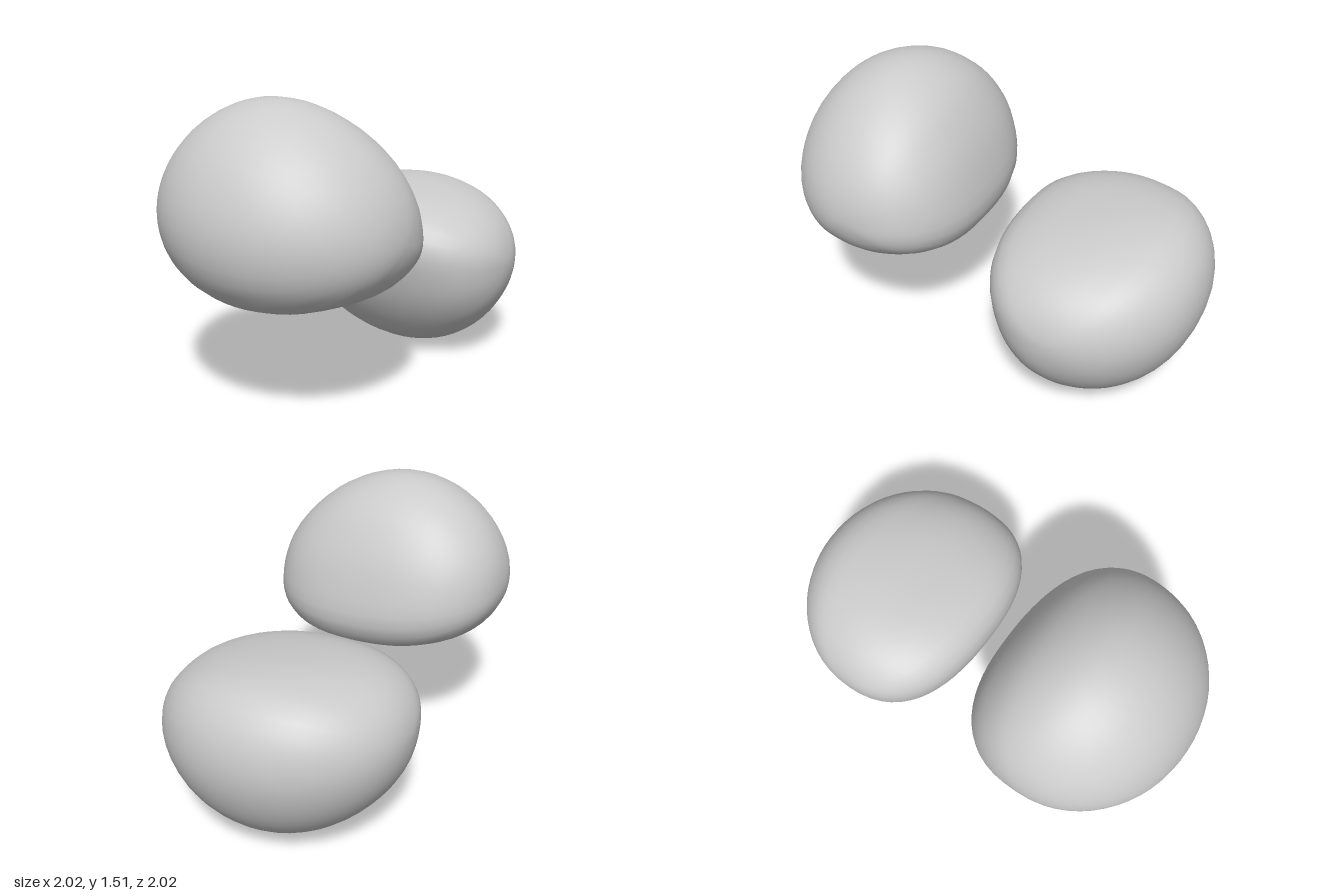
import * as THREE from 'three';
import { mergeVertices } from 'three/addons/utils/BufferGeometryUtils.js';

const MID_Y = 0.757;                      // height of the point both lobes mirror through
const CORE = new THREE.Vector3(-0.55, 0.94, 0); // axis through a lobe's rounded ends
const HALF_LENGTH = 0.65, TILT = -0.07, END_RADIUS = 0.5;

// Teardrop section of the upper lobe, its tip pointing at the lower lobe
const section = new THREE.CatmullRomCurve3([
  [-0.06, 0.81], [-0.09, 1.0], [-0.17, 1.21], [-0.32, 1.41], [-0.56, 1.512],
  [-0.82, 1.45], [-1.03, 1.25], [-1.13, 0.97], [-1.09, 0.74], [-0.96, 0.605],
  [-0.76, 0.57], [-0.5, 0.585], [-0.25, 0.63], [-0.11, 0.7],
].map(([s, y]) => new THREE.Vector3(s, y, 0)), true);

// A sphere whose rings become scaled sections along the diagonal u = (1, 0, 1)
function lobeGeometry() {
  const geo = new THREE.SphereGeometry(1, 48, 32);
  const pos = geo.attributes.position, uv = geo.attributes.uv;
  for (let i = 0; i < pos.count; i++) {
    const c = THREE.MathUtils.clamp(pos.getY(i), -1, 1);
    const d = section.getPointAt(((uv.getX(i) % 1) + 1) % 1).sub(CORE);
    // the tip side is boxier than the rest
    const n = 2 + 0.3 * d.x + d.x * d.x;
    const k = Math.pow(Math.max(0, 1 - Math.pow(Math.abs(c), n)), 1 / n);
    // sections turn rounder towards the ends
    d.lerp(d.clone().setLength(END_RADIUS), 0.6 * c * c).multiplyScalar(k);
    const u = HALF_LENGTH * c;
    const s = CORE.x + d.x;
    const y = CORE.y + d.y + TILT * u;
    pos.setXYZ(i, (s + u) * Math.SQRT1_2, y - MID_Y, (u - s) * Math.SQRT1_2);
  }
  geo.deleteAttribute('uv');
  geo.deleteAttribute('normal');
  const merged = mergeVertices(geo, 1e-4);
  merged.computeVertexNormals();
  return merged;
}

// Mirror through the origin and turn the faces outward again
function invert(source) {
  const geo = source.clone();
  const pos = geo.attributes.position, index = geo.index;
  for (let i = 0; i < pos.count; i++) pos.setXYZ(i, -pos.getX(i), -pos.getY(i), -pos.getZ(i));
  for (let i = 0; i < index.count; i += 3) {
    const b = index.getX(i + 1);
    index.setX(i + 1, index.getX(i + 2));
    index.setX(i + 2, b);
  }
  geo.computeVertexNormals();
  return geo;
}

export function createModel() {
  const group = new THREE.Group();
  const material = new THREE.MeshStandardMaterial({ color: 0xcccccc });
  const upper = lobeGeometry();
  for (const [name, geo] of [['upperLobe', upper], ['lowerLobe', invert(upper)]]) {
    const mesh = new THREE.Mesh(geo, material);
    mesh.name = name;
    mesh.position.y = MID_Y;
    group.add(mesh);
  }
  return group;
}
